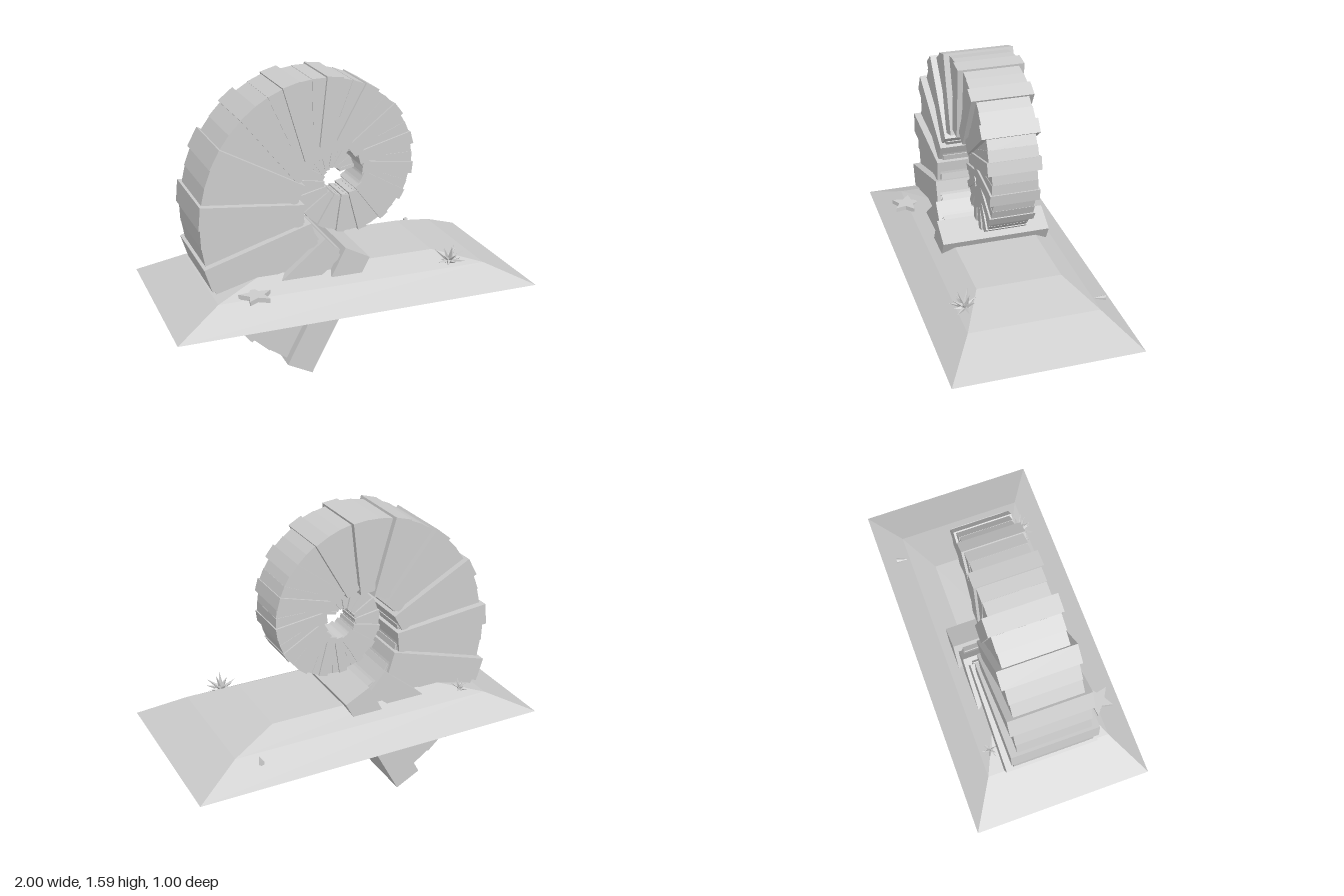
import * as THREE from 'three';

const stone = new THREE.MeshStandardMaterial({ color: 0xcccccc });
stone.name = 'pale grey';
stone.flatShading = true;
const RAD = Math.PI / 180;

function add(parent, name, geometry) {
  const mesh = new THREE.Mesh(geometry, stone);
  mesh.name = name;
  parent.add(mesh);
  return mesh;
}

// One slab of the spiral; k counts full steps inward from the widest slab
function addSlab(parent, name, k, len, depth) {
  const s = Math.pow(0.922, k);
  const phi = (258.9 - 22.7 * k) * RAD;
  const tilt = phi - 16.5 * RAD;
  const slab = add(parent, name, new THREE.BoxGeometry(0.707 * s * len, 0.155 * s * len, 0.6 * Math.pow(0.928, k) * depth));
  slab.position.set(-0.008 + 0.673 * s * Math.cos(phi), 1.01 + 0.673 * s * Math.sin(phi), 0);
  slab.rotation.z = tilt;
}

// Mound from stacked rectangular rings, closed at top and bottom
function moundGeometry() {
  const rings = [[1, 0.4, 0.5], [0.75, 0.515, 0.35], [0.49, 0.585, 0.23]];
  const corners = [[-1, 1], [1, 1], [1, -1], [-1, -1]];
  const pos = [];
  const idx = [];
  for (const [x, y, z] of rings) for (const [sx, sz] of corners) pos.push(x * sx, y, z * sz);
  for (let r = 0; r < 2; r++) {
    for (let i = 0; i < 4; i++) {
      const a = r * 4 + i, b = r * 4 + (i + 1) % 4;
      idx.push(a, b, b + 4, a, b + 4, a + 4);
    }
  }
  idx.push(8, 9, 10, 8, 10, 11, 0, 2, 1, 0, 3, 2);
  const g = new THREE.BufferGeometry();
  g.setAttribute('position', new THREE.Float32BufferAttribute(pos, 3));
  g.setIndex(idx);
  const flat = g.toNonIndexed();
  flat.computeVertexNormals();
  return flat;
}

// Ball of thin spikes fanned over the upper side
function addUrchin(parent, name, x, y, z, size) {
  const urchin = new THREE.Group();
  urchin.name = name;
  const up = new THREE.Vector3(0, 1, 0);
  const rows = [[5, 9, 0.95], [38, 6, 1], [68, 3, 1.05]];
  rows.forEach(([lift, count, reach], row) => {
    for (let i = 0; i < count; i++) {
      const a = (i + row * 0.4) / count * Math.PI * 2;
      const e = lift * RAD;
      const dir = new THREE.Vector3(Math.cos(a) * Math.cos(e), Math.sin(e), Math.sin(a) * Math.cos(e));
      const length = size * reach * (0.85 + 0.15 * Math.sin(i * 2.3 + row));
      const spike = add(urchin, 'spike', new THREE.ConeGeometry(size * 0.15, length, 4));
      spike.position.copy(dir).multiplyScalar(length / 2);
      spike.quaternion.setFromUnitVectors(up, dir);
    }
  });
  urchin.position.set(x, y, z);
  parent.add(urchin);
}

// Flat five-armed star
function starGeometry(outer, inner, height) {
  const shape = new THREE.Shape();
  for (let i = 0; i < 10; i++) {
    const r = i % 2 ? inner : outer;
    const a = Math.PI / 2 + i * Math.PI / 5;
    if (i) shape.lineTo(r * Math.cos(a), r * Math.sin(a));
    else shape.moveTo(r * Math.cos(a), r * Math.sin(a));
  }
  shape.closePath();
  const g = new THREE.ExtrudeGeometry(shape, { depth: height, bevelEnabled: false });
  return g.rotateX(-Math.PI / 2);
}

export function createModel() {
  const model = new THREE.Group();
  model.name = 'spiral shell on mound';

  // Spiral shell: large ribs with two smaller slabs between each pair
  const shell = new THREE.Group();
  shell.name = 'spiralShell';
  for (let k = 0; k < 27; k++) {
    addSlab(shell, 'rib', k, 1, 1);
    if (k < 26) {
      addSlab(shell, 'innerSlab', k + 1 / 3, 0.95, 0.86);
      addSlab(shell, 'innerSlab', k + 2 / 3, 0.96, 0.9);
    }
  }
  model.add(shell);

  // Sand mound
  add(model, 'mound', moundGeometry());

  // Small sea life on the slopes
  addUrchin(model, 'frontUrchin', 0.56, 0.54, 0.31, 0.1);
  addUrchin(model, 'backUrchin', -0.62, 0.54, -0.29, 0.06);
  const star = add(model, 'seaStar', starGeometry(0.09, 0.042, 0.025));
  star.position.set(-0.555, 0.52, 0.36);

  // Little cone shell at the back
  const cone = add(model, 'coneShell', new THREE.ConeGeometry(0.016, 0.07, 6));
  cone.position.set(0.63, 0.5, -0.39);
  cone.rotation.set(Math.PI / 2, 0, 0.2);

  return model;
}
